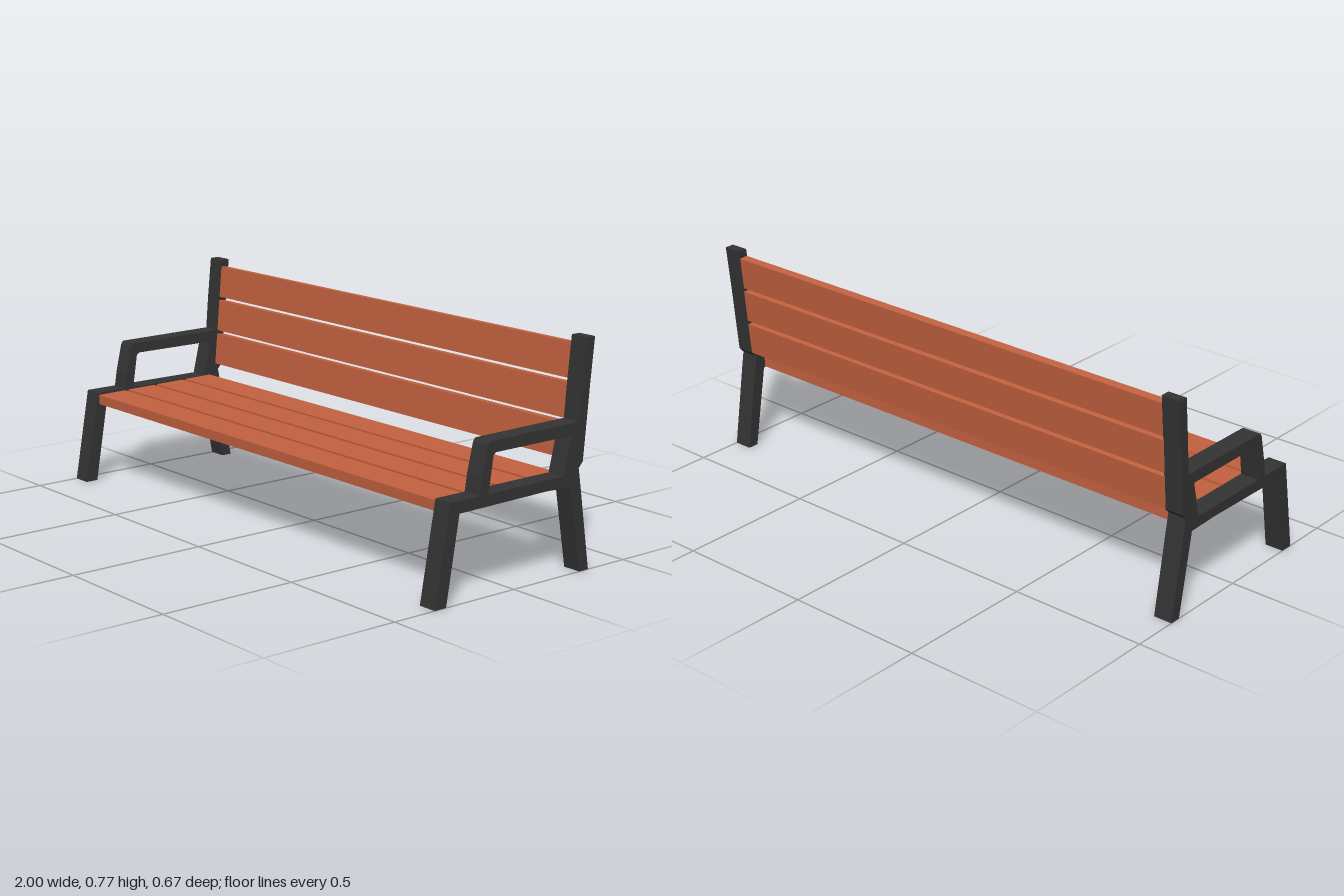
import * as THREE from 'three';

const INNER = 0.932, OUTER = 1.0; // x extent of each side frame

// Side profile in (z, y): legs, seat rail, armrest and back upright in one piece
const OUTLINE = [
  [0.337, 0], [0.278, 0.333], [0.156, 0.333], [0.147, 0.39], [0.124, 0.488], [0.116, 0.5],
  [-0.274, 0.503], [-0.284, 0.62], [-0.3, 0.773], [-0.335, 0.773], [-0.319, 0.62],
  [-0.296, 0.369], [-0.278, 0.35], [-0.29, 0.28], [-0.335, 0], [-0.295, 0],
  [-0.243, 0.293], [-0.13, 0.297], [0.24, 0.292], [0.29, 0],
];
const ARM_OPENING = [
  [0.119, 0.333], [0.1, 0.454], [0.09, 0.462], [-0.242, 0.462], [-0.211, 0.333],
];
const toPoints = (list) => list.map(([z, y]) => new THREE.Vector2(z, y));

export function createModel() {
  const bench = new THREE.Group();
  bench.name = 'bench';
  const metal = new THREE.MeshStandardMaterial({ color: 0x333333, flatShading: true });
  const wood = new THREE.MeshStandardMaterial({ color: 0xc2613f, flatShading: true });

  // Cast side frames
  const shape = new THREE.Shape(toPoints(OUTLINE));
  shape.holes.push(new THREE.Path(toPoints(ARM_OPENING)));
  const frameGeometry = new THREE.ExtrudeGeometry(shape, { depth: OUTER - INNER, bevelEnabled: false });
  frameGeometry.rotateY(-Math.PI / 2); // profile x becomes z, depth runs to -x
  for (const [name, x] of [['leftFrame', OUTER], ['rightFrame', -INNER]]) {
    const frame = new THREE.Mesh(frameGeometry, metal);
    frame.name = name;
    frame.position.x = x;
    bench.add(frame);
  }

  // A plank spanning the two frames
  const addSlat = (name, height, depth, y, z, tilt) => {
    const slat = new THREE.Mesh(new THREE.BoxGeometry(INNER * 2 + 0.004, height, depth), wood);
    slat.name = name;
    slat.position.set(0, y, z);
    slat.rotation.x = tilt;
    bench.add(slat);
  };

  // Seat slats, the front ones sitting a touch lower
  for (let i = 0; i < 4; i++) {
    addSlat(`seatSlat${i + 1}`, 0.035, 0.117, 0.308 + i * 0.002, 0.214 - i * 0.131, 0.012);
  }

  // Backrest slats, following the lean of the uprights
  const lean = -0.092;
  for (let i = 0; i < 3; i++) {
    const y = 0.429 + i * 0.1295;
    addSlat(`backSlat${i + 1}`, 0.116, 0.031, y, -0.286 + (y - 0.429) * lean, lean);
  }
  return bench;
}
